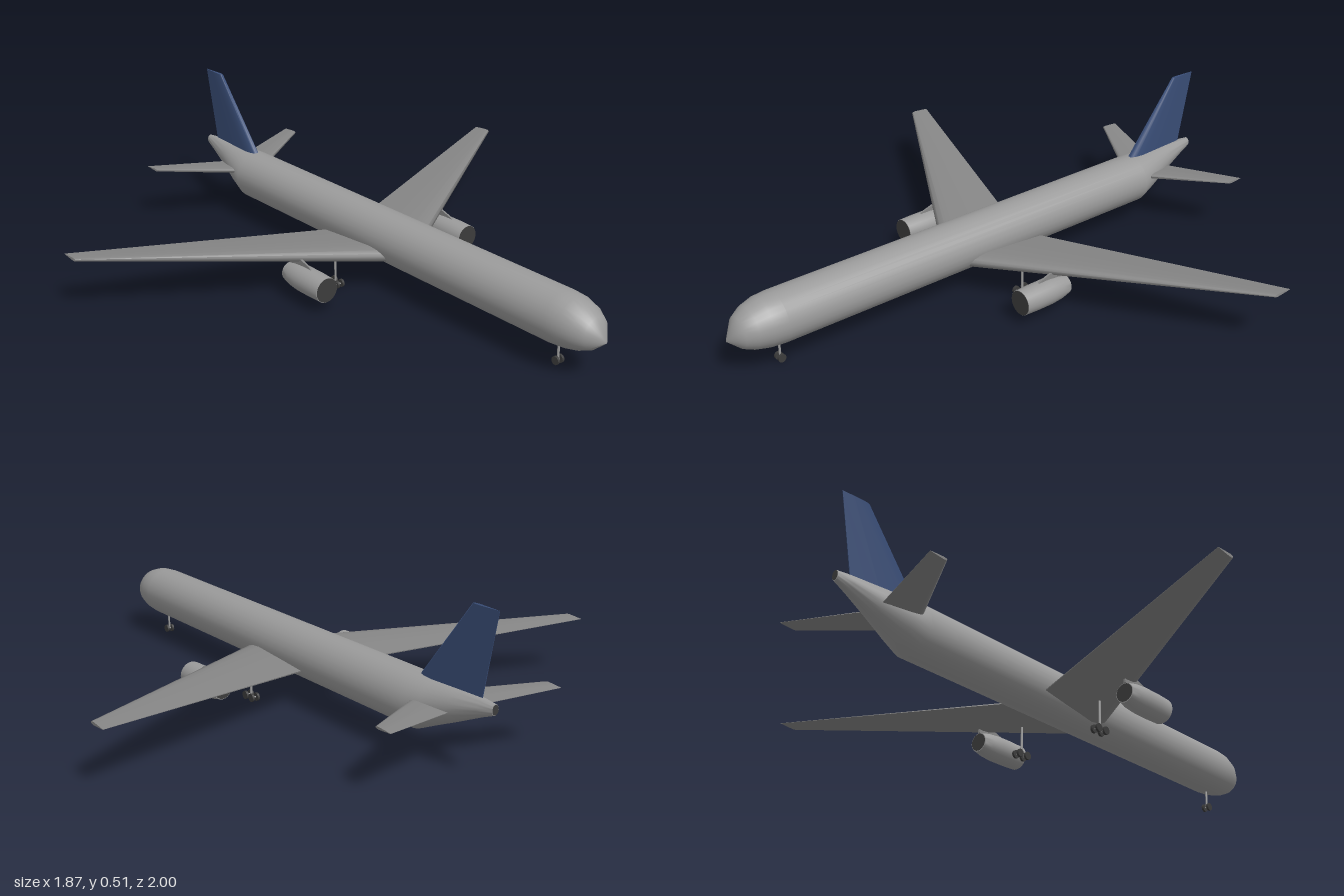
import * as THREE from 'three';
import { toCreasedNormals } from 'three/addons/utils/BufferGeometryUtils.js';

const paint = (color) => new THREE.MeshStandardMaterial({ color });
const bodyGrey = paint(0x9b9b9b);
const wingGrey = paint(0x868686);
const blue = paint(0x394d76);
const dark = paint(0x3c3c3c);

// Closed skin through rings of equal point count, faces turned outward
function loft(rings, crease) {
  const n = rings[0].length, last = rings.length - 1;
  const pts = rings.flat(), tris = [];
  for (let i = 0; i < last; i++) {
    for (let j = 0; j < n; j++) {
      const a = i * n + j, b = i * n + (j + 1) % n;
      tris.push([a, b, a + n], [b, b + n, a + n]);
    }
  }
  for (let j = 1; j < n - 1; j++) {
    tris.push([0, j + 1, j], [last * n, last * n + j, last * n + j + 1]);
  }
  let volume = 0;
  const cross = new THREE.Vector3();
  for (const [a, b, c] of tris) volume += pts[a].dot(cross.crossVectors(pts[b], pts[c]));
  if (volume < 0) tris.forEach((t) => t.reverse());
  const geo = new THREE.BufferGeometry().setFromPoints(pts);
  geo.setIndex(tris.flat());
  return toCreasedNormals(geo, crease);
}

// Elliptical ring across the z axis
function ellipse(z, y, rx, ry, sides = 28) {
  return Array.from({ length: sides }, (_, i) => {
    const a = (i / sides) * Math.PI * 2;
    return new THREE.Vector3(Math.cos(a) * rx, y + Math.sin(a) * ry, z);
  });
}

// Airfoil as [fraction of chord, fraction of thickness]
const UPPER = [[0, 0.12], [0.03, 0.3], [0.1, 0.43], [0.22, 0.5], [0.6, 0.3], [1, 0.04]];
const AIRFOIL = [...UPPER, ...UPPER.map(([u, v]) => [u, -v]).reverse()];

// Station: { x, y, lead, trail, t }; upright puts the thickness along x
function foil(stations, side = 1, upright = false) {
  return loft(stations.map(({ x, y, lead, trail, t }) => AIRFOIL.map(([u, v]) => {
    const z = lead + (trail - lead) * u;
    return upright ? new THREE.Vector3(x + v * t, y, z) : new THREE.Vector3(side * x, y + v * t, z);
  })), 1.3);
}

function add(parent, name, geo, mat, x = 0, y = 0, z = 0) {
  const mesh = new THREE.Mesh(geo, mat);
  mesh.name = name;
  mesh.position.set(x, y, z);
  parent.add(mesh);
}

// Strut with paired wheels at each of the axle positions
function landingGear(name, x, z, top, axles) {
  const gear = new THREE.Group();
  gear.name = name;
  gear.position.set(x, 0, z);
  add(gear, 'strut', new THREE.CylinderGeometry(0.004, 0.004, top - 0.014, 8), bodyGrey, 0, (top + 0.014) / 2, 0);
  if (axles.length > 1) add(gear, 'bogieBeam', new THREE.BoxGeometry(0.005, 0.005, 0.036), bodyGrey, 0, 0.015, 0);
  for (const az of axles) {
    add(gear, 'axle', new THREE.CylinderGeometry(0.003, 0.003, 0.02, 8).rotateZ(Math.PI / 2), bodyGrey, 0, 0.014, az);
    for (const s of [-1, 1]) {
      add(gear, 'wheel', new THREE.CylinderGeometry(0.014, 0.014, 0.008, 16).rotateZ(Math.PI / 2), dark, s * 0.01, 0.014, az);
    }
  }
  return gear;
}

function engine(side) {
  const group = new THREE.Group();
  group.name = side > 0 ? 'leftEngine' : 'rightEngine';
  group.position.set(side * 0.318, 0.082, 0);
  // Nacelle with dark intake and nozzle
  const rings = [[0.115, 0.043], [0.06, 0.045], [0, 0.045], [-0.045, 0.041], [-0.08, 0.033]];
  add(group, 'nacelle', loft(rings.map(([z, r]) => ellipse(z, 0, r, r, 24)), 0.6), bodyGrey);
  add(group, 'intake', new THREE.CircleGeometry(0.042, 24), dark, 0, 0, 0.116);
  add(group, 'nozzle', new THREE.CircleGeometry(0.031, 24).rotateY(Math.PI), dark, 0, 0, -0.081);
  // Pylon, swept back up to the wing
  const outline = new THREE.Shape([[-0.055, 0.035], [0.08, 0.035], [0.08, 0.066], [0.02, 0.066], [-0.03, 0.05]]
    .map(([u, v]) => new THREE.Vector2(u, v)));
  const pylon = new THREE.ExtrudeGeometry(outline, { depth: 0.007, bevelEnabled: false });
  add(group, 'pylon', pylon.translate(0, 0, -0.0035).rotateY(Math.PI / 2), wingGrey);
  return group;
}

export function createModel() {
  const plane = new THREE.Group();
  plane.name = 'airliner';

  // Fuselage sections: z, centre y, half width, half height
  const sections = [
    [1, 0.144, 0.004, 0.004], [0.96, 0.157, 0.053, 0.052], [0.925, 0.161, 0.072, 0.071],
    [0.88, 0.163, 0.084, 0.083], [0.83, 0.163, 0.088, 0.087],
    [-0.7, 0.163, 0.088, 0.087], [-0.76, 0.176, 0.075, 0.073], [-0.85, 0.195, 0.049, 0.053],
    [-0.95, 0.216, 0.025, 0.029], [-1, 0.224, 0.013, 0.017],
  ];
  add(plane, 'fuselage', loft(sections.map((s) => ellipse(...s)), 0.8), bodyGrey);
  add(plane, 'tailExhaust', new THREE.CircleGeometry(1, 24).rotateY(Math.PI).scale(0.012, 0.016, 1), dark, 0, 0.224, -1.001);

  for (const side of [1, -1]) {
    const label = side > 0 ? 'left' : 'right';
    add(plane, label + 'Wing', foil([
      { x: 0, y: 0.12, lead: 0.176, trail: -0.157, t: 0.05 },
      { x: 0.935, y: 0.201, lead: -0.385, trail: -0.457, t: 0.01 },
    ], side), wingGrey);
    add(plane, label + 'Tailplane', foil([
      { x: 0, y: 0.177, lead: -0.68, trail: -0.842, t: 0.022 },
      { x: 0.325, y: 0.207, lead: -0.875, trail: -0.94, t: 0.008 },
    ], side), wingGrey);
    plane.add(engine(side));
    plane.add(landingGear(label + 'MainGear', side * 0.17, -0.022, 0.13, [0.018, -0.018]));
  }
  plane.add(landingGear('noseGear', 0, 0.825, 0.09, [0]));

  // Tail fin
  add(plane, 'tailFin', foil([
    { x: 0, y: 0.22, lead: -0.667, trail: -0.943, t: 0.036 },
    { x: 0, y: 0.51, lead: -0.895, trail: -1, t: 0.012 },
  ], 1, true), blue);

  return plane;
}
